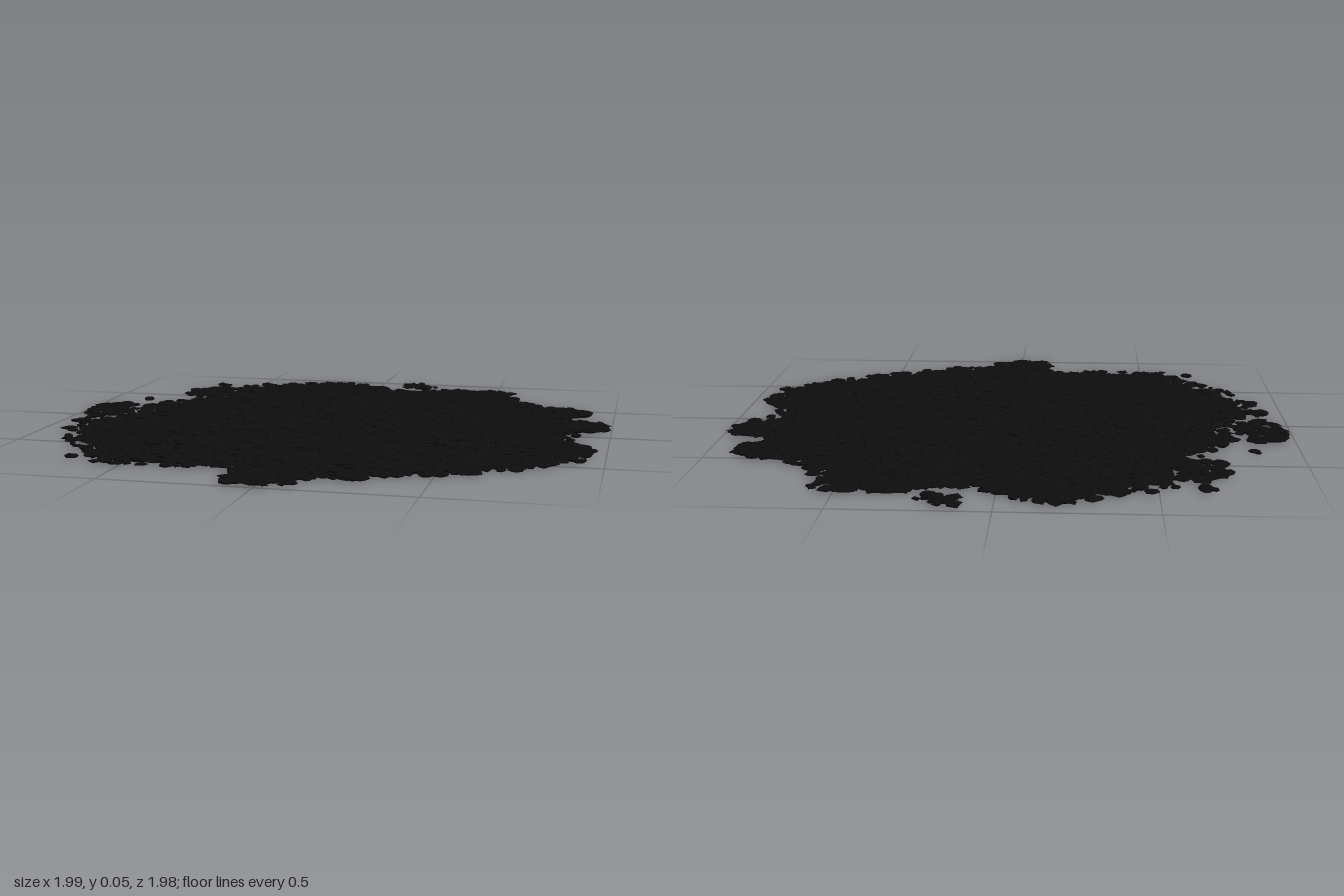
import * as THREE from 'three';
import { mergeGeometries } from 'three/addons/utils/BufferGeometryUtils.js';

// Outer edge of the heap as x, z pairs, all the way round
const EDGE = [
  -0.18, -0.93, -0.05, -0.87, 0.02, -0.81, 0.1, -0.77, 0.2, -0.79, 0.3, -0.84, 0.4, -0.81, 0.5, -0.84,
  0.57, -0.72, 0.6, -0.62, 0.7, -0.54, 0.8, -0.49, 0.89, -0.46, 0.88, -0.37, 0.78, -0.28, 0.88, -0.23,
  0.96, -0.2, 0.95, -0.1, 0.86, -0.06, 0.87, 0.05, 0.85, 0.15, 0.91, 0.2, 0.93, 0.3, 0.88, 0.45,
  0.8, 0.54, 0.65, 0.65, 0.5, 0.72, 0.38, 0.77, 0.28, 0.84, 0.15, 0.84, 0.07, 0.9, 0, 0.97,
  -0.08, 0.92, -0.1, 0.82, -0.2, 0.74, -0.3, 0.79, -0.5, 0.79, -0.6, 0.71, -0.7, 0.6, -0.82, 0.47,
  -0.9, 0.3, -0.85, 0.1, -0.76, -0.05, -0.77, -0.2, -0.71, -0.32, -0.63, -0.42, -0.55, -0.6, -0.5, -0.74,
  -0.4, -0.8, -0.3, -0.87,
];
const COUNT = EDGE.length / 2;

// Stray patches beyond the edge: x, z, radius x, radius z, number of chips
const PATCHES = [
  [-0.89, -0.1, 0.09, 0.13, 75], [-0.88, 0.1, 0.06, 0.1, 25], [-0.65, -0.56, 0.09, 0.1, 55],
  [-0.56, -0.74, 0.15, 0.09, 20], [0.17, -0.92, 0.07, 0.07, 28], [0.52, -0.8, 0.06, 0.07, 20],
  [0.84, -0.42, 0.08, 0.09, 35], [0.9, -0.16, 0.08, 0.11, 35], [0.88, 0.32, 0.07, 0.16, 35],
  [-0.01, 0.91, 0.12, 0.08, 35], [-0.6, 0.72, 0.1, 0.08, 20], [-0.86, -0.37, 0.03, 0.03, 2],
];

function makeRandom(seed) {
  return () => {
    seed = (seed * 1664525 + 1013904223) % 4294967296;
    return seed / 4294967296;
  };
}

// Point at fraction t round the edge, scaled towards the middle by f
function edgePoint(t, f) {
  const s = (((t % 1) + 1) % 1) * COUNT;
  const i = Math.floor(s) % COUNT, j = (i + 1) % COUNT, k = s - Math.floor(s);
  return [0, 1].map((a) => f * THREE.MathUtils.lerp(EDGE[2 * i + a], EDGE[2 * j + a], k));
}

// Height of the heap: a shallow dome with a small crest and gentle lumps
function heapHeight(x, z, f) {
  const dome = 0.036 * (1 - Math.min(1, f) ** 1.8);
  const crest = 0.007 * Math.exp(-((x - 0.1) ** 2 + (z + 0.1) ** 2) / 0.012);
  const lumps = 0.003 * Math.sin(9 * x + 1) * Math.cos(8 * z) * (1 - Math.min(1, f));
  return 0.004 + dome + crest + lumps;
}

// Closed rough dome with a flat underside
function moundGeometry(random) {
  const rings = 36, sides = 150, pos = [0, heapHeight(0, 0, 0), 0], index = [];
  for (let r = 1; r <= rings; r++) {
    for (let s = 0; s < sides; s++) {
      const f = (0.95 * r) / rings + (random() - 0.5) * 0.016;
      const [x, z] = edgePoint((s + (random() - 0.5) * 0.5) / sides, f);
      pos.push(x, heapHeight(x, z, f) + (random() - 0.5) * 0.006, z);
    }
  }
  const at = (r, s) => 1 + (r - 1) * sides + (s % sides);
  const base = pos.length / 3;
  for (let s = 0; s < sides; s++) {
    const p = 3 * at(rings, s);
    pos.push(pos[p], 0, pos[p + 2]);
  }
  pos.push(0, 0, 0);
  for (let s = 0; s < sides; s++) {
    const n = (s + 1) % sides;
    index.push(0, at(1, n), at(1, s));
    for (let r = 1; r < rings; r++) {
      const a = at(r, s), b = at(r, n), c = at(r + 1, s), d = at(r + 1, n);
      index.push(a, b, d, a, d, c);
    }
    const a = at(rings, s), b = at(rings, n);
    index.push(a, b, base + n, a, base + n, base + s);
    index.push(base + sides, base + s, base + n);
  }
  const geometry = new THREE.BufferGeometry();
  geometry.setAttribute('position', new THREE.Float32BufferAttribute(pos, 3));
  geometry.setIndex(index);
  const flat = geometry.toNonIndexed();
  flat.computeVertexNormals();
  return flat;
}

// One angular flat chip, lifted clear of the ground
function chipGeometry(random, x, y, z) {
  const size = 0.014 + 0.017 * random();
  const geometry = random() < 0.5 ? new THREE.OctahedronGeometry(1) : new THREE.DodecahedronGeometry(1);
  geometry.deleteAttribute('uv');
  geometry.rotateX(random() * 6).rotateZ(random() * 6);
  geometry.scale(size * (0.7 + 0.6 * random()), 0.005 + 0.003 * random(), size);
  geometry.rotateY(random() * 6).rotateX((random() - 0.5) * 0.3);
  geometry.computeBoundingBox();
  const lift = Math.max(y, -geometry.boundingBox.min.y);
  geometry.translate(THREE.MathUtils.clamp(x, -0.97, 0.97), lift, THREE.MathUtils.clamp(z, -0.975, 0.975));
  geometry.computeVertexNormals();
  return geometry;
}

export function createModel() {
  const random = makeRandom(17);
  const coal = new THREE.MeshStandardMaterial({ color: 0x0d0d0d });
  coal.name = 'coalBlack';
  const group = new THREE.Group();
  group.name = 'coalHeap';
  const add = (name, geometry) => {
    const mesh = new THREE.Mesh(geometry, coal);
    mesh.name = name;
    group.add(mesh);
  };

  add('mound', moundGeometry(random));

  // Chips lying over the mound
  const top = [];
  for (let i = 0; i < 2000; i++) {
    const f = 0.96 * Math.sqrt(random());
    const [x, z] = edgePoint(random(), f);
    top.push(chipGeometry(random, x, heapHeight(x, z, f), z));
  }
  add('surfaceChips', mergeGeometries(top));

  // Ragged rim of chips
  const rim = [];
  for (let i = 0; i < 700; i++) {
    const f = 0.93 + 0.09 * random();
    const [x, z] = edgePoint(random(), f);
    rim.push(chipGeometry(random, x, 0.008 * random(), z));
  }
  add('rimChips', mergeGeometries(rim));

  // Loose patches scattered outside the rim
  const loose = [];
  for (const [cx, cz, rx, rz, n] of PATCHES) {
    for (let i = 0; i < n; i++) {
      const a = random() * Math.PI * 2, r = Math.sqrt(random());
      loose.push(chipGeometry(random, cx + rx * r * Math.cos(a), 0.01 * random(), cz + rz * r * Math.sin(a)));
    }
  }
  add('looseChips', mergeGeometries(loose));
  return group;
}
